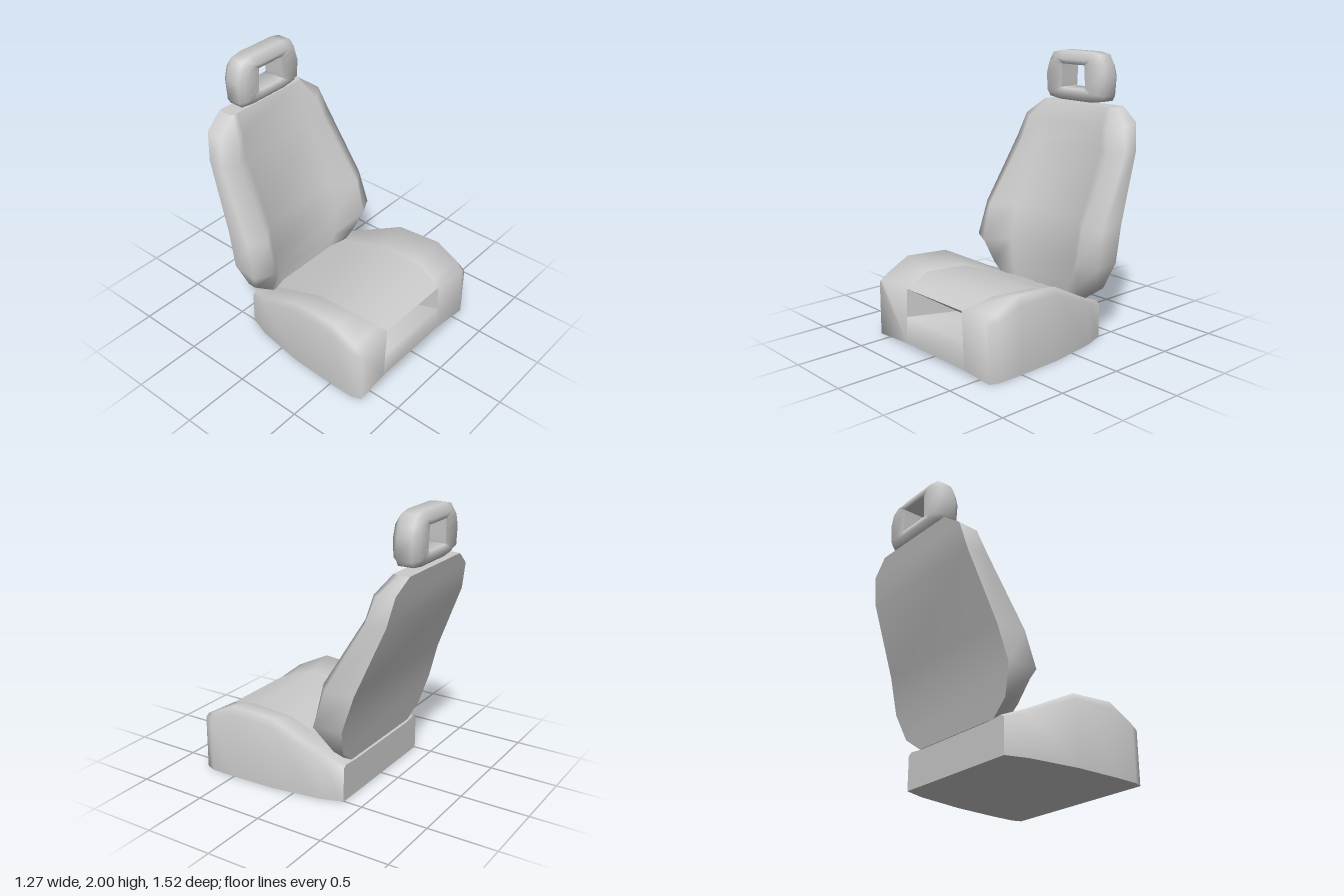
import * as THREE from 'three';
import { toCreasedNormals } from 'three/addons/utils/BufferGeometryUtils.js';

const grey = new THREE.MeshStandardMaterial({ color: 0xcccccc });
const greyDouble = new THREE.MeshStandardMaterial({ color: 0xcccccc, side: THREE.DoubleSide });
const SMOOTH = Math.PI;

const mirrorPoint = ([x, y, z]) => [-x, y, z];
const mirrorSection = points => points.map(mirrorPoint).reverse();

// Skin of triangles over sections; ring closes both the sections and their sequence
function loft(rows, ring = false) {
  const tris = [];
  const open = ring ? 0 : 1;
  for (let i = 0; i < rows.length - open; i++) {
    const r = rows[i], s = rows[(i + 1) % rows.length];
    for (let j = 0; j < r.length - open; j++) {
      const k = (j + 1) % r.length;
      tris.push(r[j], r[k], s[k], r[j], s[k], s[j]);
    }
  }
  return tris;
}

// Flat end over a section, seen along axis 1 (y) or 2 (z), facing the given sign
function cap(points, axis, sign) {
  const other = axis === 1 ? 2 : 1;
  const flat = points.map(p => new THREE.Vector2(p[0], p[other]));
  return THREE.ShapeUtils.triangulateShape(flat, []).flatMap(t => {
    const [a, b, c] = t.map(i => points[i]);
    const [va, vb, vc] = [a, b, c].map(p => new THREE.Vector3(...p));
    const n = vb.sub(va).cross(vc.sub(va));
    return n.getComponent(axis) * sign > 0 ? [a, b, c] : [a, c, b];
  });
}

function part(name, tris, crease, material = grey) {
  let g = new THREE.BufferGeometry();
  g.setAttribute('position', new THREE.Float32BufferAttribute(tris.flat(), 3));
  g = toCreasedNormals(g, crease);
  const mesh = new THREE.Mesh(g, material);
  mesh.name = name;
  return mesh;
}

function group(name, ...parts) {
  const g = new THREE.Group();
  g.name = name;
  return g.add(...parts);
}

// Seat cushion: raised bolsters either side of a flat centre, sections from back to front
function seatCushion() {
  // z outer, z centre, outer x, bolster top y, inner x, centre y, edge drop
  const rows = [
    [-0.36, -0.36, 0.505, 0.27, 0.36, 0.26, 0.02],
    [-0.20, -0.20, 0.56, 0.335, 0.36, 0.315, 0.03],
    [0.17, 0.17, 0.615, 0.52, 0.36, 0.45, 0.05],
    [0.51, 0.51, 0.628, 0.54, 0.36, 0.475, 0.06],
    [0.69, 0.67, 0.626, 0.45, 0.32, 0.43, 0.04],
    [0.76, 0.735, 0.60, 0.415, 0.30, 0.41, 0.02],
  ].map(([z, zc, xo, yo, xi, yc, drop]) => [
    [xo, 0, z], [xo, yo - drop, z], [xo - 0.03, yo, z], [xi, yc, zc],
  ]);
  const front = [...rows[rows.length - 1], [0.32, 0, 0.735]];
  const back = [...rows[0], ...mirrorSection(rows[0])];
  const across = k => rows.map(r => [r[k], mirrorPoint(r[k])]);
  return group('seatCushion',
    part('leftBolster', [...loft(rows), ...cap(front, 2, 1)], SMOOTH),
    part('rightBolster', [
      ...loft(rows.map(mirrorSection)), ...cap(front.map(mirrorPoint), 2, 1),
    ], SMOOTH),
    part('seatCentre', loft(across(3)), SMOOTH),
    part('seatUnderside', loft(across(0).map(r => r.reverse())), SMOOTH),
    part('seatBack', cap(back, 2, -1), SMOOTH));
}

// Front panel running back into a wedge under the cushion's front edge
function frontRecess() {
  const z = 0.735;
  const line = [[0.32, 0, z], [0.31, 0.2, z], [0.17, 0.2, 0.4], [0.30, 0.41, z]];
  const across = line.map(p => [p, mirrorPoint(p)]).map(r => r.reverse());
  const wall = line.slice(1);
  return group('frontRecess',
    part('frontPanel', loft(across.slice(0, 3)), SMOOTH, greyDouble),
    part('recessRoof', loft(across.slice(2)), SMOOTH, greyDouble),
    part('recessWalls', [...wall, ...mirrorSection(wall)], 0.5, greyDouble));
}

// Reclined backrest with side bolsters: sections from bottom to top
function backrest() {
  // front y, back y, centre x/z, ridge x/z, outer x/z, back x/z
  const rows = [
    [0.30, 0.27, 0.27, -0.27, 0.41, -0.235, 0.42, -0.30, 0.39, -0.35],
    [0.39, 0.37, 0.31, -0.27, 0.45, -0.195, 0.54, -0.30, 0.53, -0.37],
    [0.57, 0.57, 0.34, -0.28, 0.49, -0.125, 0.635, -0.20, 0.61, -0.41],
    [0.83, 0.83, 0.34, -0.32, 0.49, -0.19, 0.61, -0.27, 0.585, -0.485],
    [1.32, 1.32, 0.33, -0.53, 0.44, -0.48, 0.555, -0.54, 0.53, -0.685],
    [1.48, 1.52, 0.31, -0.56, 0.40, -0.515, 0.505, -0.59, 0.49, -0.725],
    [1.62, 1.62, 0.30, -0.62, 0.34, -0.622, 0.36, -0.67, 0.35, -0.745],
  ].map(([yf, yb, xi, zi, xr, zr, xo, zo, xb, zb]) => [
    [xi, yf, zi], [xr, yf, zr], [xo, (yf + yb) / 2, zo], [xb, yb, zb],
  ]);
  const shell = rows.map(r => [...mirrorSection(r), ...r]);
  return group('backrest',
    part('backrestCushion', loft(shell), SMOOTH),
    part('backrestRear', loft(rows.map(r => [r[3], mirrorPoint(r[3])])), SMOOTH),
    part('backrestEnds', [
      ...cap(shell[0], 1, -1), ...cap(shell[shell.length - 1], 1, 1),
    ], 0.8));
}

// Ring-shaped headrest: sections swept round the opening
function headrest() {
  const zMid = -0.665;
  // outer x/y, opening x/y, position of the face's edge between them
  const half = [
    [0, 2, 0, 1.905, 0.35], [0.15, 2, 0.08, 1.905, 0.35],
    [0.235, 1.983, 0.112, 1.905, 0.55], [0.27, 1.92, 0.114, 1.88, 0.8],
    [0.29, 1.83, 0.117, 1.82, 0.85], [0.288, 1.69, 0.12, 1.75, 0.8],
    [0.265, 1.652, 0.122, 1.732, 0.55], [0.16, 1.637, 0.08, 1.73, 0.5],
    [0, 1.637, 0, 1.73, 0.5],
  ];
  const section = ([xo, yo, xi, yi, edge]) => [
    [1, -0.055], [1, 0.055], [edge, 0.095],
    [0, 0.085], [0, -0.085], [edge, -0.095],
  ].map(([t, z]) => [xi + (xo - xi) * t, yi + (yo - yi) * t, zMid + z]);
  const left = half.map(section);
  const right = left.slice(1, -1).reverse().map(s => s.map(mirrorPoint));
  return part('headrest', loft([...left, ...right], true), 1.4);
}

export function createModel() {
  return group('carSeat', seatCushion(), frontRecess(), backrest(), headrest());
}
